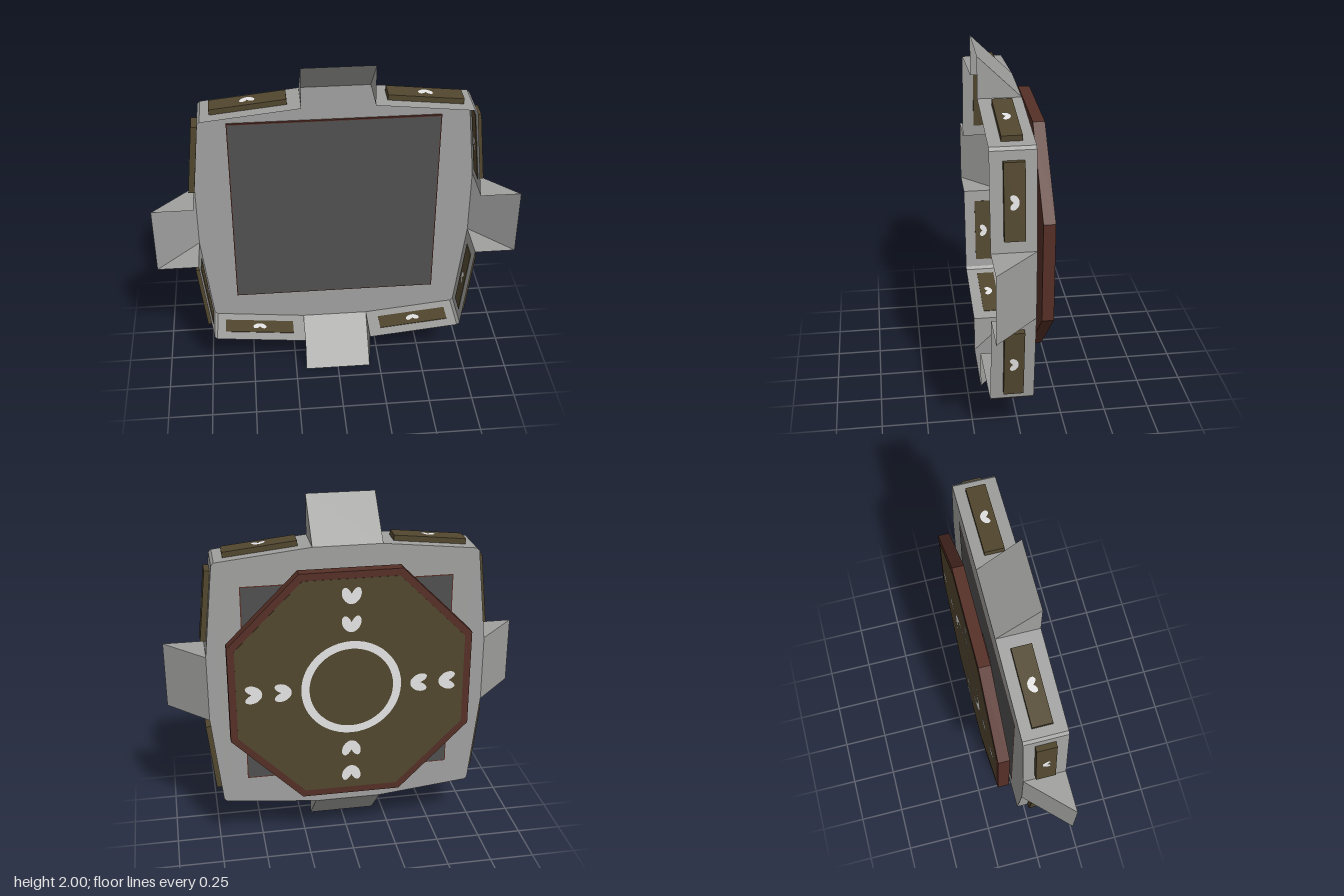
import * as THREE from 'three';

const BACK = -0.06, FRONT = 0.17;

function mat(name, color, side = THREE.FrontSide) {
  const m = new THREE.MeshStandardMaterial({ color, side });
  m.name = name;
  return m;
}

// flat-shaded surface from quads / triangles given as corner lists
function faces(list) {
  const pos = [];
  for (const f of list)
    for (let i = 1; i < f.length - 1; i++) pos.push(...f[0], ...f[i], ...f[i + 1]);
  const g = new THREE.BufferGeometry();
  g.setAttribute('position', new THREE.Float32BufferAttribute(pos, 3));
  g.computeVertexNormals();
  return g;
}

// bean-shaped mark: rounded towards +y, notched towards -y, one unit wide
function beanGeometry(width, height) {
  const s = new THREE.Shape();
  s.moveTo(0, -0.12);
  s.quadraticCurveTo(-0.15, -0.5, -0.35, -0.5);
  s.bezierCurveTo(-0.56, -0.4, -0.52, 0.1, -0.3, 0.32);
  s.bezierCurveTo(-0.15, 0.54, 0.15, 0.54, 0.3, 0.32);
  s.bezierCurveTo(0.52, 0.1, 0.56, -0.4, 0.35, -0.5);
  s.quadraticCurveTo(0.15, -0.5, 0, -0.12);
  return new THREE.ShapeGeometry(s, 6).scale(width, height, 1);
}

// octagonal slab along z with flat sides at top and bottom
function octagon(apothem, z0, z1) {
  const r = apothem / Math.cos(Math.PI / 8);
  return new THREE.CylinderGeometry(r, r, z1 - z0, 8).toNonIndexed()
    .rotateY(Math.PI / 8).rotateX(Math.PI / 2).translate(0, 0, (z0 + z1) / 2);
}

export function createModel() {
  const grey = mat('shell grey', 0xa0a19f, THREE.DoubleSide);
  const dark = mat('panel dark grey', 0x505050, THREE.DoubleSide);
  const maroon = mat('trim maroon', 0x552f26);
  const brown = mat('plate brown', 0x52472f);
  const light = mat('mark light grey', 0xe4e4e4, THREE.DoubleSide);
  for (const m of [grey, maroon, brown]) m.flatShading = true;

  const model = new THREE.Group();
  const add = (parent, name, geo, material) => {
    const mesh = new THREE.Mesh(geo, material);
    mesh.name = name;
    parent.add(mesh);
    return mesh;
  };

  // outline of one quarter of the shell
  const quarter = [[0.19, 0.775], [0.705, 0.72], [0.72, 0.705], [0.775, 0.19]];
  const outline = [];
  for (let k = 0; k < 4; k++)
    for (const [x, y] of quarter)
      outline.push(new THREE.Vector2(x, y).rotateAround(new THREE.Vector2(), -k * Math.PI / 2));

  // back plate with a square opening
  const plate = new THREE.Shape(outline);
  const H = 0.58;
  plate.holes.push(new THREE.Path([[-H, -H], [H, -H], [H, H], [-H, H]].map(p => new THREE.Vector2(...p))));
  add(model, 'backPlate', new THREE.ShapeGeometry(plate).translate(0, 0, BACK), grey);

  // square panel standing slightly forward, with trim edges
  add(model, 'squarePanelEdge', new THREE.BoxGeometry(2 * H, 2 * H, 0.012).translate(0, 0, BACK + 0.006), maroon);
  for (const z of [BACK + 0.014, BACK - 0.001])
    add(model, 'squarePanelFace', new THREE.PlaneGeometry(2 * H - 0.012, 2 * H - 0.012).translate(0, 0, z), dark);

  // four quarters: side walls, sloped bracket and two plaques each
  const wall = faces(quarter.slice(0, 3).map(([x0, y0], i) => {
    const [x1, y1] = quarter[i + 1];
    return [[x0, y0, FRONT], [x1, y1, FRONT], [x1, y1, BACK], [x0, y0, BACK]];
  }));
  const b = 0.775, w = 0.19;
  const bracket = faces([
    [[-w, b, BACK], [-w, 1, FRONT], [w, 1, FRONT], [w, b, BACK]],
    [[w, b, BACK], [w, 1, FRONT], [w, b, FRONT]],
    [[-w, b, BACK], [-w, b, FRONT], [-w, 1, FRONT]],
  ]);
  const plaque = new THREE.BoxGeometry(0.4, 0.033, 0.105).translate(0, 0.0135, 0.052);
  const smallBean = beanGeometry(0.08, 0.046).rotateX(-Math.PI / 2).translate(0, 0, 0.052);
  const tilt = 0.1064;

  for (let k = 0; k < 4; k++) {
    const q = new THREE.Group();
    q.name = 'shellQuarter';
    q.rotation.z = -k * Math.PI / 2;
    add(q, 'sideWall', wall, grey);
    add(q, 'slopedBracket', bracket, grey);
    for (const [x, y, a] of [[0.457, 0.7465, -tilt], [0.7465, 0.457, tilt - Math.PI / 2]]) {
      const p = new THREE.Group();
      p.name = 'plaque';
      p.position.set(x, y, 0);
      p.rotation.z = a;
      add(p, 'plaqueBlock', plaque, brown);
      add(p, 'plaqueMark', smallBean, light).position.y = 0.033;
      add(p, 'plaqueInnerMark', smallBean, light).position.y = -0.006;
      q.add(p);
    }
    model.add(q);
  }

  // octagonal disc on a short hub behind the shell
  add(model, 'hub', octagon(0.17, -0.11, BACK), maroon);
  add(model, 'disc', octagon(0.67, -0.168, -0.105), maroon);
  add(model, 'discFace', octagon(0.63, -0.17, -0.165), brown);

  // ring and inward-pointing marks on the disc face
  const markZ = -0.173;
  add(model, 'discRing', new THREE.RingGeometry(0.232, 0.277, 48).translate(0, 0, markZ), light);
  const bigBean = beanGeometry(0.11, 0.095);
  for (let k = 0; k < 4; k++) {
    const g = new THREE.Group();
    g.name = 'discMarks';
    g.rotation.z = k * Math.PI / 2;
    for (const r of [0.375, 0.535]) add(g, 'discMark', bigBean, light).position.set(0, -r, markZ);
    model.add(g);
  }

  model.position.y = 1;
  const root = new THREE.Group();
  root.add(model);
  return root;
}
